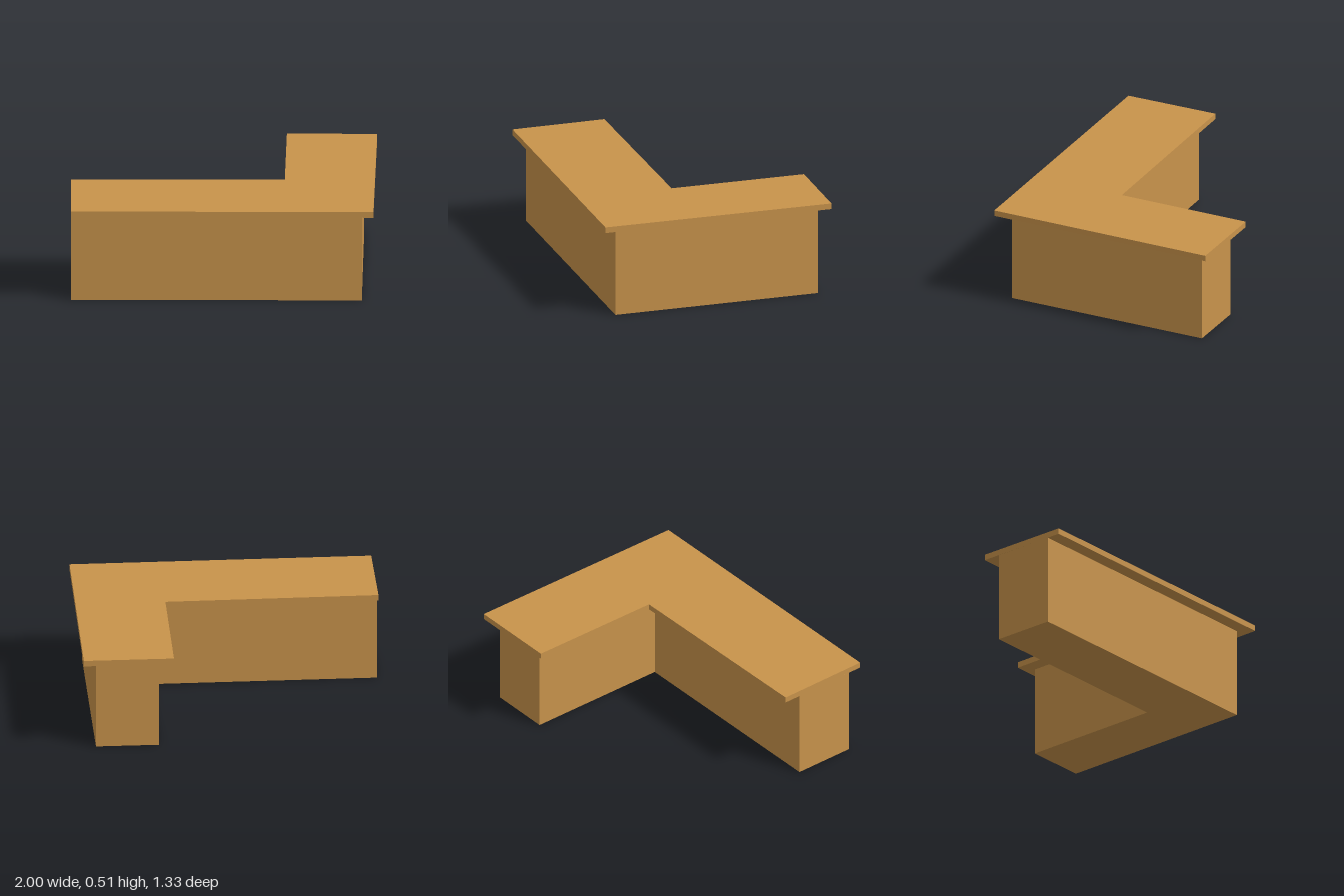
import * as THREE from 'three';

// Extrude a plan outline of [x, z] corners upward from y0 to y1
function slab(name, corners, y0, y1, material) {
  const shape = new THREE.Shape(corners.map(([x, z]) => new THREE.Vector2(x, -z)));
  const geometry = new THREE.ExtrudeGeometry(shape, { depth: y1 - y0, bevelEnabled: false });
  geometry.rotateX(-Math.PI / 2);
  geometry.translate(0, y0, 0);
  const mesh = new THREE.Mesh(geometry, material);
  mesh.name = name;
  return mesh;
}

export function createModel() {
  const model = new THREE.Group();
  model.name = 'cornerCounter';
  const wood = new THREE.MeshStandardMaterial({ color: 0xc8934b });
  wood.name = 'warm wood';

  // Solid L-shaped body, set back beneath the top
  model.add(slab('counterBase', [
    [0.26, 0.57], [0.915, -0.315], [0.652, -0.51],
    [0.195, 0.109], [-0.76, -0.59], [-0.957, -0.321],
  ], 0, 0.48, wood));

  // Overhanging L-shaped countertop
  model.add(slab('counterTop', [
    [0.265, 0.665], [1, -0.318], [0.623, -0.596],
    [0.193, -0.019], [-0.706, -0.667], [-1, -0.261],
  ], 0.48, 0.511, wood));

  return model;
}
